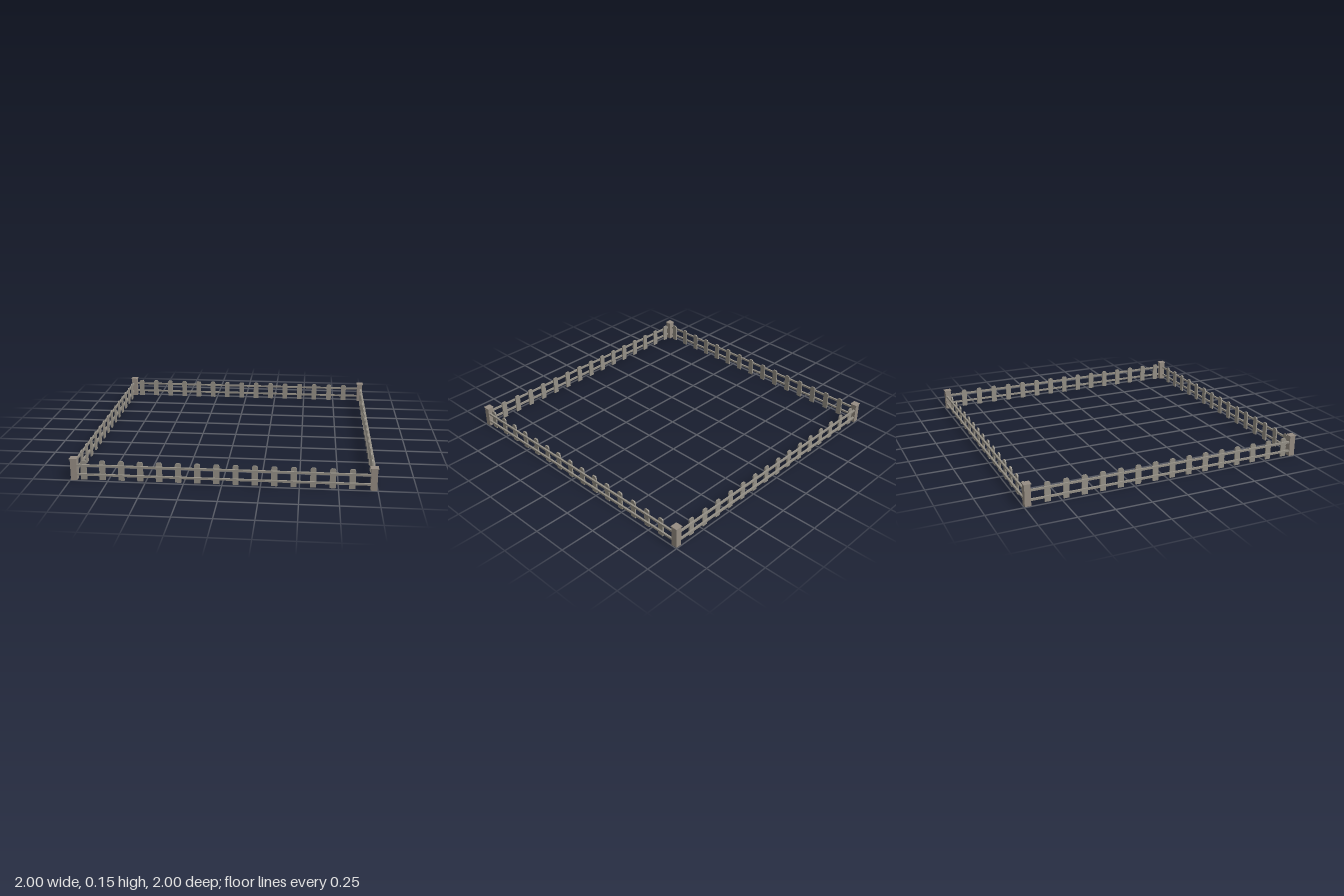
import * as THREE from 'three';

export function createModel() {
  const root = new THREE.Group();
  root.name = 'fence';
  const postWood = new THREE.MeshStandardMaterial({ color: 0x968d83 });
  postWood.name = 'post wood';
  const slatWood = new THREE.MeshStandardMaterial({ color: 0x959086 });
  slatWood.name = 'slat wood';

  const add = (parent, geometry, material, name, x, y, z) => {
    const mesh = new THREE.Mesh(geometry, material);
    mesh.name = name;
    mesh.position.set(x, y, z);
    parent.add(mesh);
  };

  // Corner posts with thin overhanging caps
  const postGeo = new THREE.BoxGeometry(0.042, 0.146, 0.042);
  const capGeo = new THREE.BoxGeometry(0.052, 0.005, 0.052);
  for (const sx of [-1, 1]) {
    for (const sz of [-1, 1]) {
      add(root, postGeo, postWood, 'cornerPost', sx * 0.974, 0.073, sz * 0.974);
      add(root, capGeo, postWood, 'postCap', sx * 0.974, 0.1485, sz * 0.974);
    }
  }

  // Picket outline with a rounded top
  const w = 0.02;
  const outline = new THREE.Shape([
    [-w, 0], [w, 0], [w, 0.12], [0.017, 0.129], [0.01, 0.134],
    [-0.01, 0.134], [-0.017, 0.129], [-w, 0.12],
  ].map(([x, y]) => new THREE.Vector2(x, y)));
  const picketGeo = new THREE.ExtrudeGeometry(outline, { depth: 0.01, bevelEnabled: false });
  picketGeo.translate(0, 0, -0.005);
  const railGeo = new THREE.BoxGeometry(1.93, 0.013, 0.013);

  // Each side: two outer rails and a row of pickets just inside them.
  // dir is the end the row starts from, so opposite sides line up.
  const sides = [
    ['frontSide', 0, 1], ['leftSide', Math.PI / 2, 1],
    ['backSide', Math.PI, -1], ['rightSide', -Math.PI / 2, -1],
  ];
  for (const [name, turn, dir] of sides) {
    const side = new THREE.Group();
    side.name = name;
    side.rotation.y = turn;
    for (const y of [0.038, 0.102]) add(side, railGeo, slatWood, 'rail', 0, y, 0.984);
    for (let i = 0; i < 15; i++) {
      add(side, picketGeo, slatWood, 'picket', dir * (-0.912 + i * 0.125), 0, 0.973);
    }
    root.add(side);
  }
  return root;
}
